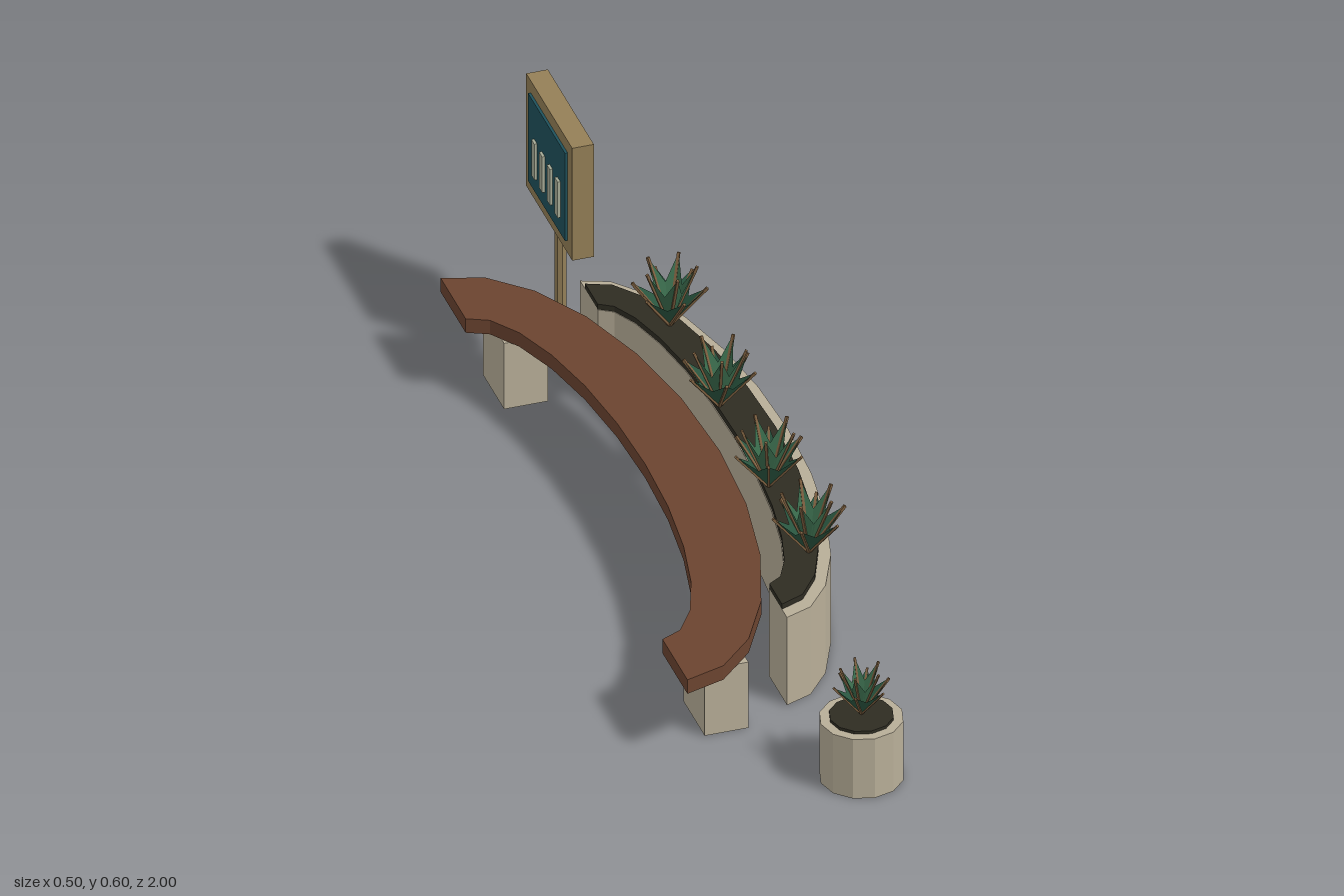
import * as THREE from 'three';
import { mergeGeometries } from 'three/addons/utils/BufferGeometryUtils.js';

const mat = (name, color, side = THREE.FrontSide) => {
  const m = new THREE.MeshStandardMaterial({ color, side, flatShading: true });
  m.name = name;
  return m;
};

export function createModel() {
  const concrete = mat('concrete', 0xb8ae98);
  const timber = mat('bench timber', 0x6b4430);
  const oak = mat('sign wood', 0x947f57);
  const soilMat = mat('soil', 0x2e2c22);
  const screenMat = mat('sign panel', 0x1f525c);
  const barMat = mat('sign bars', 0xa8ad98);
  const darkLeaf = mat('dark leaf', 0x2a5640, THREE.DoubleSide);
  const lightLeaf = mat('light leaf', 0x3a6b4c, THREE.DoubleSide);
  const ribMat = mat('leaf rib', 0x7d6040);

  const root = new THREE.Group();
  root.name = 'benchAndPlanter';
  const add = (name, geo, material, x = 0, y = 0, z = 0, parent = root) => {
    const m = new THREE.Mesh(geo, material);
    m.name = name;
    m.position.set(x, y, z);
    parent.add(m);
    return m;
  };

  // Half-elliptical band, bulging to +x, extruded upwards in 12 facets
  const band = (aOut, bOut, aIn, bIn, height) => {
    const pts = [];
    const N = 12;
    for (let i = 0; i <= N; i++) {
      const t = -Math.PI / 2 + (Math.PI * i) / N;
      pts.push(new THREE.Vector2(aOut * Math.cos(t), bOut * Math.sin(t)));
    }
    for (let i = N; i >= 0; i--) {
      const t = -Math.PI / 2 + (Math.PI * i) / N;
      pts.push(new THREE.Vector2(aIn * Math.cos(t), bIn * Math.sin(t)));
    }
    const g = new THREE.ExtrudeGeometry(new THREE.Shape(pts), { depth: height, bevelEnabled: false });
    return g.rotateX(-Math.PI / 2);
  };

  // Curved bench on two block legs
  const midZ = -0.08;
  add('benchSeat', band(0.345, 0.815, 0.18, 0.65, 0.035), timber, -0.25, 0.165, midZ);
  for (const z of [-0.735, 0.59]) {
    add('benchLeg', new THREE.BoxGeometry(0.097, 0.165, 0.14), concrete, -0.138, 0.0825, z);
  }

  // Curved planter with a soil bed
  add('planter', band(0.233, 0.683, 0.115, 0.565, 0.22), concrete, 0.015, 0, midZ);
  add('planterSoil', band(0.205, 0.65, 0.117, 0.567, 0.013), soilMat, 0.015, 0.22, midZ);

  // Round pot
  add('pot', new THREE.CylinderGeometry(0.09, 0.09, 0.148, 12), concrete, 0.077, 0.074, 0.91);
  add('potSoil', new THREE.CylinderGeometry(0.069, 0.069, 0.01, 12), soilMat, 0.077, 0.15, 0.91);

  // Folded leaf: two faces meeting in a keel from base to tip
  const leaf = (r, h, w) => {
    const len = Math.hypot(r, h);
    const mx = r * 0.55 - (h / len) * w * 0.5;
    const my = h * 0.55 + (r / len) * w * 0.5;
    const g = new THREE.BufferGeometry();
    g.setAttribute('position', new THREE.Float32BufferAttribute([
      0, 0, 0, r, h, 0, mx, my, -w,
      0, 0, 0, mx, my, w, r, h, 0,
    ], 3));
    g.computeVertexNormals();
    return g;
  };
  const rib = (r, h) => new THREE.BoxGeometry(Math.hypot(r, h), 0.006, 0.006)
    .rotateZ(Math.atan2(h, r)).translate(r / 2, h / 2, 0);
  const ring = (make, count, start) => mergeGeometries(
    Array.from({ length: count }, (_, i) => make().rotateY(start + (i * 2 * Math.PI) / count)));

  // Rosette plant: six low outer leaves, five steeper inner ones
  const outer = ring(() => leaf(0.08, 0.1, 0.022), 6, 0);
  const inner = ring(() => leaf(0.058, 0.148, 0.02), 5, Math.PI / 10);
  const ribs = mergeGeometries([
    ring(() => rib(0.08, 0.1), 6, 0),
    ring(() => rib(0.058, 0.148), 5, Math.PI / 10),
  ]);
  const plant = (x, y, z, scale, turn) => {
    const p = new THREE.Group();
    p.name = 'plant';
    p.position.set(x, y, z);
    p.rotation.y = turn;
    p.scale.setScalar(scale);
    add('outerLeaves', outer, darkLeaf, 0, 0, 0, p);
    add('innerLeaves', inner, lightLeaf, 0, 0, 0, p);
    add('leafRibs', ribs, ribMat, 0, 0, 0, p);
    root.add(p);
  };
  [0.397, 0.131, -0.195, -0.523].forEach((z, i) => plant(0.133, 0.232, z, 1, i * 0.2));
  plant(0.077, 0.155, 0.91, 0.77, 0);

  // Sign on a post, its panel facing -x
  const signZ = -0.848;
  add('signPost', new THREE.CylinderGeometry(0.0135, 0.0135, 0.33, 8), oak, 0, 0.165, signZ);
  add('signBoard', new THREE.BoxGeometry(0.048, 0.282, 0.304), oak, -0.001, 0.461, signZ);
  add('signPanel', new THREE.BoxGeometry(0.007, 0.22, 0.244), screenMat, -0.0275, 0.462, signZ);
  for (let i = 0; i < 4; i++) {
    add('signBar', new THREE.BoxGeometry(0.007, 0.09, 0.02), barMat, -0.0335, 0.437, -0.92 + i * 0.051);
  }
  return root;
}
